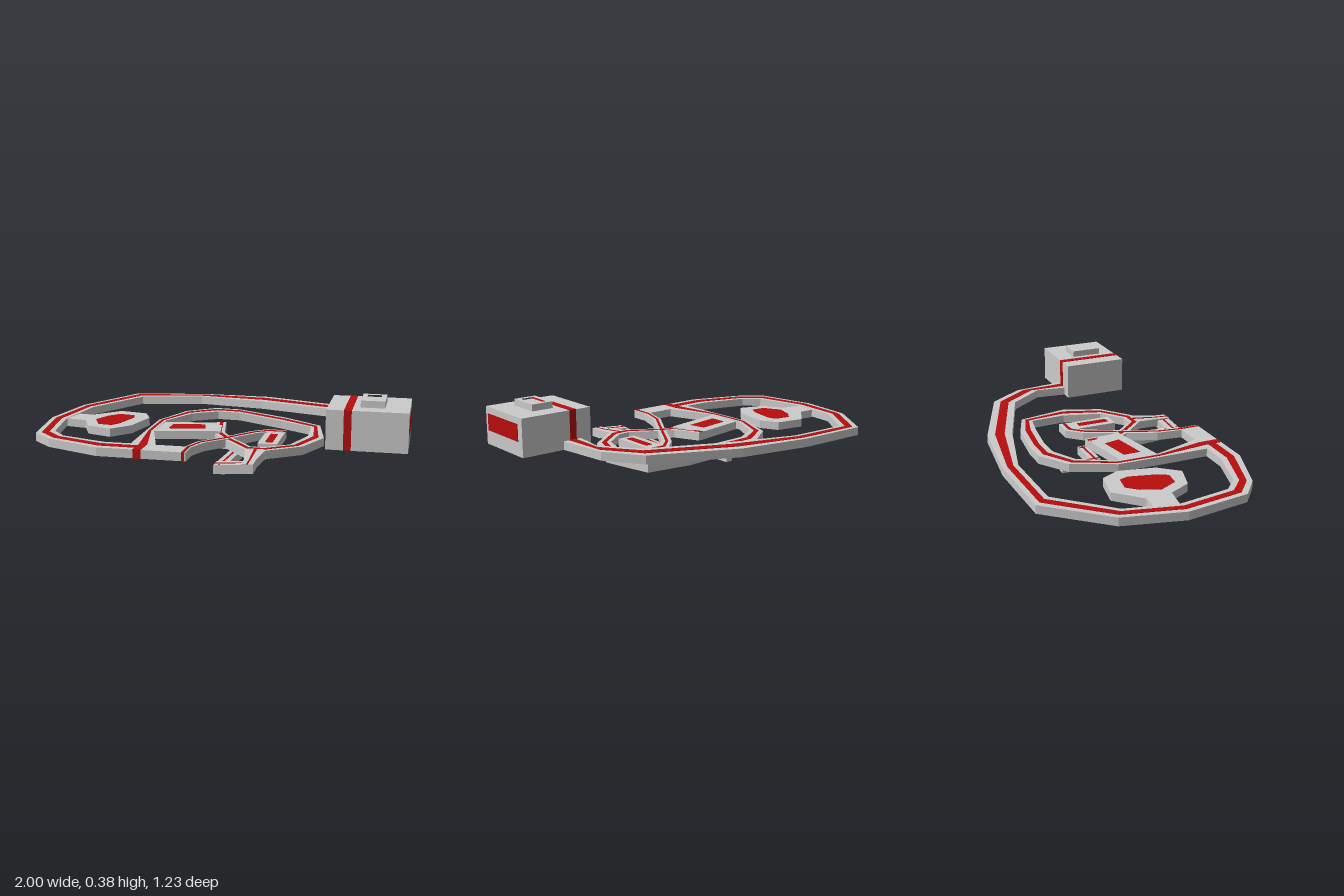
import * as THREE from 'three';

const grey = new THREE.MeshStandardMaterial({ color: 0xcccccc, flatShading: true });
const red = new THREE.MeshStandardMaterial({ color: 0xb80c0c, flatShading: true });
const T = 0.045; // slab thickness

export function createModel() {
  const root = new THREE.Group();
  const add = (name, geo, mat = grey) => {
    const m = new THREE.Mesh(geo, mat);
    m.name = name;
    root.add(m);
    return m;
  };

  // Solid strip swept through sections [x1, z1, x2, z2, topY]
  const strip = (name, sections, mat = grey, th = T) => {
    const rings = sections.map(([a, b, c, d, y]) => [[a, y, b], [c, y, d], [c, y - th, d], [a, y - th, b]]);
    const [s, e] = sections;
    const flip = (e[0] - s[0]) * (s[3] - s[1]) - (e[1] - s[1]) * (s[2] - s[0]) > 0;
    const pos = [];
    const quad = (p, q, r, t) => {
      const o = flip ? [p, q, r, p, r, t] : [p, r, q, p, t, r];
      o.forEach(v => pos.push(...v));
    };
    for (let i = 0; i < rings.length - 1; i++)
      for (let k = 0; k < 4; k++) {
        const n = (k + 1) % 4;
        quad(rings[i][k], rings[i][n], rings[i + 1][n], rings[i + 1][k]);
      }
    quad(...[...rings[0]].reverse());
    quad(...rings[rings.length - 1]);
    const g = new THREE.BufferGeometry();
    g.setAttribute('position', new THREE.Float32BufferAttribute(pos, 3));
    g.computeVertexNormals();
    return add(name, g, mat);
  };

  // Walkway with a red line along its middle; w is the half width of the line as a fraction
  const walkway = (name, sections, w, below = false) => {
    strip(name, sections);
    const line = dy => sections.map(([a, b, c, d, y]) => {
      const l = THREE.MathUtils.lerp;
      return [l(a, c, 0.5 - w), l(b, d, 0.5 - w), l(a, c, 0.5 + w), l(b, d, 0.5 + w), y + dy];
    });
    strip(name + 'Line', line(0.002), red, 0.004);
    if (below) strip(name + 'UndersideLine', line(0.002 - T), red, 0.004);
  };

  // Flat polygon slab from [x, z] corners
  const slab = (name, pts, top, mat = grey, th = T, hole) => {
    const toV = p => new THREE.Vector2(p[0], -p[1]);
    const s = new THREE.Shape(pts.map(toV));
    if (hole) s.holes.push(new THREE.Path(hole.map(toV)));
    const g = new THREE.ExtrudeGeometry(s, { depth: th, bevelEnabled: false });
    g.rotateX(-Math.PI / 2).translate(0, top - th, 0);
    return add(name, g, mat);
  };
  const rect = (x0, x1, z0, z1) => [[x0, z0], [x1, z0], [x1, z1], [x0, z1]];
  const plate = (name, pts, top) => slab(name, pts, top + 0.002, red, 0.004);

  // Large outer walkway
  walkway('outerWalkway', [
    [0.765, 0.1, 0.66, 0.1, 0.195], [0.73, -0.19, 0.68, -0.08, 0.195], [0.6, -0.38, 0.54, -0.27, 0.194],
    [0.14, -0.565, 0.12, -0.43, 0.186], [-0.27, -0.615, -0.27, -0.53, 0.176], [-0.7, -0.595, -0.64, -0.51, 0.163],
    [-0.935, -0.28, -0.86, -0.23, 0.146], [-1, 0.05, -0.91, 0.06, 0.14], [-0.945, 0.4, -0.86, 0.34, 0.138],
    [-0.83, 0.5, -0.78, 0.42, 0.137], [-0.53, 0.61, -0.53, 0.495, 0.136], [-0.34, 0.61, -0.34, 0.495, 0.136]], 0.19);

  // Front junction with its two crossing bands
  slab('frontJunction', rect(-0.39, -0.065, 0.495, 0.61), 0.136);
  for (const [x, w] of [[-0.317, 0.042], [-0.08, 0.014]]) {
    const b = add('junctionBand', new THREE.BoxGeometry(w, T + 0.004, 0.119), red);
    b.position.set(x, 0.136 - T / 2, 0.5525);
  }

  // Inner loop, sloping down at the back
  walkway('innerLoop', [
    [-0.385, 0.5, -0.25, 0.5, 0.136], [-0.39, 0.22, -0.345, 0.22, 0.138], [-0.39, -0.03, -0.345, -0.02, 0.14],
    [-0.295, -0.265, -0.245, -0.21, 0.143], [-0.14, -0.375, -0.11, -0.285, 0.145], [0, -0.375, 0.02, -0.285, 0.143],
    [0.28, -0.33, 0.27, -0.24, 0.118], [0.49, -0.25, 0.445, -0.2, 0.1], [0.545, 0.03, 0.455, 0, 0.1],
    [0.46, 0.24, 0.39, 0.21, 0.102], [0.29, 0.37, 0.265, 0.305, 0.104], [0.18, 0.37, 0.2, 0.305, 0.105]], 0.16, true);

  // Two narrow walkways crossing at the centre
  walkway('centreWalkway', [
    [0.18, 0.37, 0.2, 0.31, 0.105], [0.03, 0.22, 0.07, 0.18, 0.116],
    [-0.03, 0.15, 0.02, 0.12, 0.126], [-0.06, -0.045, -0.01, -0.055, 0.139]], 0.18);
  walkway('crossWalkway', [
    [0.325, -0.08, 0.325, -0.02, 0.105], [0.22, -0.08, 0.235, -0.02, 0.105], [0.14, -0.005, 0.18, 0.03, 0.108],
    [0.03, 0.19, 0.07, 0.21, 0.117], [-0.07, 0.36, -0.03, 0.38, 0.13], [-0.1, 0.5, -0.063, 0.5, 0.136]], 0.15);

  // Rooms with red floor plates
  slab('westRoom', [[-0.97, -0.08], [-0.9, -0.08], [-0.8, -0.07], [-0.67, -0.2], [-0.51, -0.17], [-0.46, -0.07],
    [-0.5, 0.13], [-0.59, 0.235], [-0.73, 0.19], [-0.79, 0.07], [-0.97, 0.04]].slice(1), 0.139);
  plate('westRoomPlate', [[-0.7, -0.06], [-0.65, -0.115], [-0.56, -0.1], [-0.545, -0.05], [-0.58, 0.1],
    [-0.61, 0.15], [-0.69, 0.14], [-0.74, 0.04]], 0.139);
  slab('middleRoom', [[-0.36, 0.01], [-0.03, -0.05], [0.005, 0.15], [-0.36, 0.22]], 0.137);
  plate('middleRoomPlate', [[-0.285, 0.05], [-0.11, 0.02], [-0.09, 0.11], [-0.285, 0.145]], 0.137);
  slab('eastRoom', rect(0.22, 0.325, -0.03, 0.23), 0.104);
  plate('eastRoomPlate', rect(0.255, 0.295, 0.02, 0.2), 0.104);

  // Lower path: ramps down at the front, then runs back underneath
  walkway('frontRamp', [[0.27, 0.33, 0.2, 0.33, 0.105], [0.29, 0.36, 0.18, 0.36, 0.105],
    [0.265, 0.5, 0.205, 0.5, 0.09], [0.265, 0.575, 0.205, 0.575, 0.086]], 0.07);
  walkway('frontCrossing', [[0.265, 0.575, 0.265, 0.5, 0.085], [0.065, 0.575, 0.065, 0.5, 0.071]], 0.07);
  walkway('lowerRamp', [[0.125, 0.575, 0.065, 0.575, 0.072], [0.125, 0.17, 0.065, 0.17, T],
    [0.105, -0.055, 0.065, -0.055, T]], 0.08);
  walkway('lowerCrossing', [[0.105, 0, 0.105, -0.055, T], [-0.1, 0, -0.1, -0.055, T]], 0.1);
  walkway('lowerEnd', [[-0.06, 0, -0.1, 0, T], [-0.06, -0.225, -0.1, -0.225, T]], 0.13);

  // Raised house, hollow from below
  const outline = rect(0.6, 1, 0.09, 0.45);
  slab('houseWalls', outline, 0.33, grey, 0.18, rect(0.66, 0.94, 0.15, 0.39));
  slab('houseRoof', outline, 0.35, grey, 0.02);
  slab('roofFrame', rect(0.76, 0.88, 0.19, 0.365), 0.385, grey, 0.035, rect(0.785, 0.855, 0.215, 0.34));
  plate('roofBand', rect(0.687, 0.725, 0.088, 0.452), 0.35);
  for (const z of [0.09, 0.45])
    add('wallBand', new THREE.BoxGeometry(0.038, 0.2, 0.004), red).position.set(0.706, 0.25, z);
  add('sidePanel', new THREE.BoxGeometry(0.004, 0.09, 0.3), red).position.set(1, 0.27, 0.28);

  return root;
}
